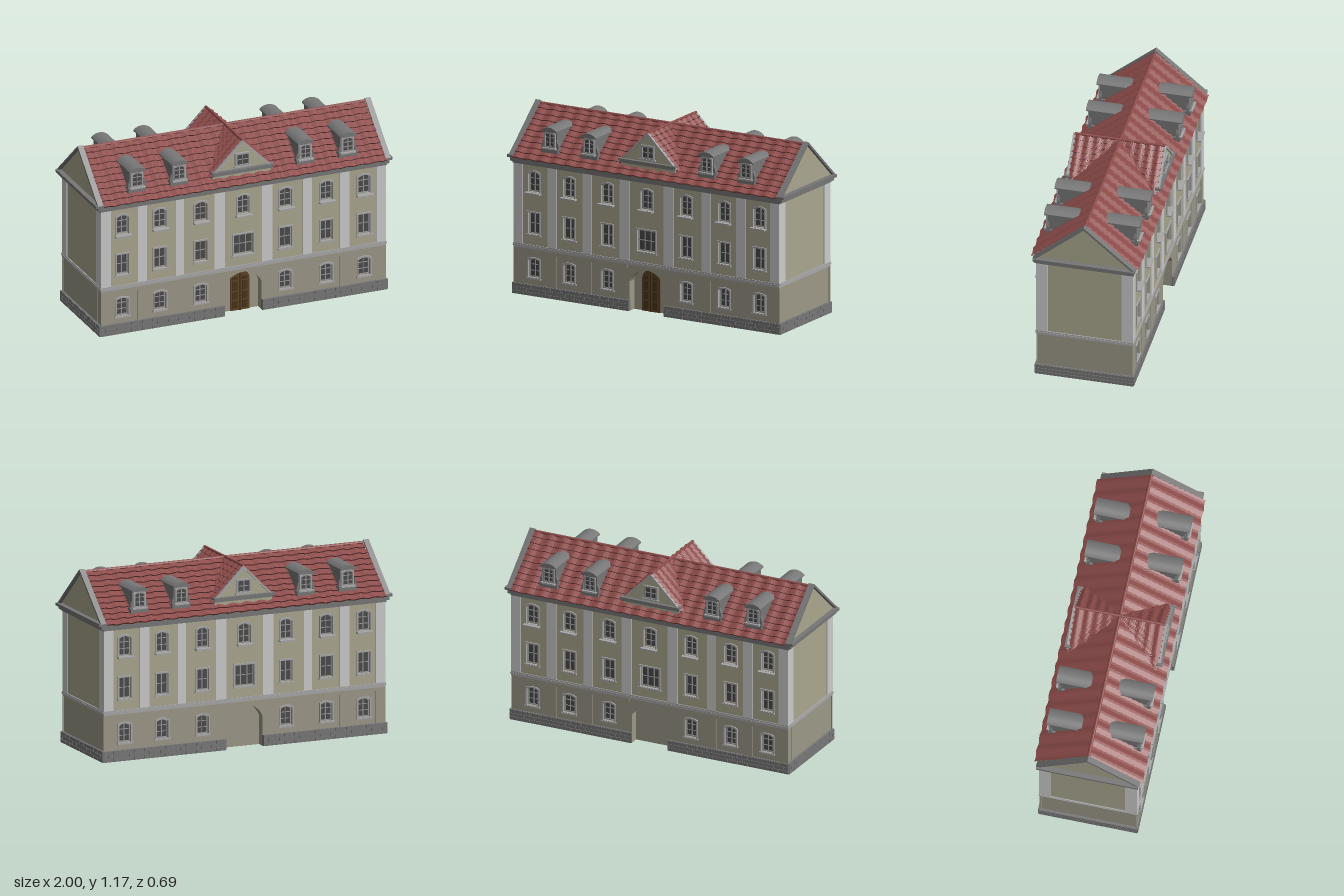
import * as THREE from 'three';

const mat = (color, extra = {}) => new THREE.MeshStandardMaterial({ color, ...extra });
const M = {
  wall: mat(0xaaa78f), base: mat(0x9c9988), light: mat(0xcccccc), trim: mat(0xa8a8a8), stone: mat(0x777777),
  glass: mat(0x4a4a4a), bar: mat(0x969696), door: mat(0x5e4426), doorDark: mat(0x4a341c),
  tile: mat(0x8c4c4a, { side: THREE.DoubleSide, flatShading: true }),
};

function add(parent, name, geo, material) {
  const mesh = new THREE.Mesh(geo, material);
  mesh.name = name;
  parent.add(mesh);
  return mesh;
}

// Box given by its limits on each axis
function box(parent, name, x0, x1, y0, y1, z0, z1, material) {
  const m = add(parent, name, new THREE.BoxGeometry(x1 - x0, y1 - y0, z1 - z0), material);
  m.position.set((x0 + x1) / 2, (y0 + y1) / 2, (z0 + z1) / 2);
  return m;
}

function extrude(parent, name, shape, z0, z1, material) {
  const geo = new THREE.ExtrudeGeometry(shape, { depth: z1 - z0, bevelEnabled: false, curveSegments: 8 });
  return add(parent, name, geo.translate(0, 0, z0), material);
}

const poly = (pts) => new THREE.Shape(pts.map((p) => new THREE.Vector2(...p)));

// Opening outline: rectangle with a segmental arch of the given rise inside height h
function arch(x, y, w, h, rise, Type = THREE.Shape) {
  const s = new Type(), a = w / 2, spring = y + h - rise;
  s.moveTo(x - a, y);
  s.lineTo(x + a, y);
  s.lineTo(x + a, spring);
  if (rise > 0) {
    const r = (a * a + rise * rise) / (2 * rise), half = Math.asin(Math.min(1, a / r));
    s.absarc(x, y + h - r, r, Math.PI / 2 - half, Math.PI / 2 + half, false);
  } else s.lineTo(x - a, spring);
  s.lineTo(x - a, y);
  return s;
}

// Window: surround, recessed glass, sash and glazing bars
function windowUnit(parent, name, { x, y, w, h, rise = 0, z, recess = 0.02, rows = 3, cols = 2, edge = 0.01, sill = 0.012 }) {
  const g = new THREE.Group();
  g.name = name;
  parent.add(g);
  const ring = (n, out, inn, z0, z1, m) => {
    const s = arch(x, y - out, w + 2 * out, h + 2 * out, rise);
    s.holes.push(arch(x, y + inn, w - 2 * inn, h - 2 * inn, rise, THREE.Path));
    extrude(g, n, s, z0, z1, m);
  };
  ring('surround', edge, 0, z - 0.002, z + 0.008, M.trim);
  const zg = z - recess + 0.001;
  add(g, 'glass', new THREE.ShapeGeometry(arch(x, y, w, h, rise)).translate(0, 0, zg), M.glass);
  ring('sash', 0, 0.006, zg, zg + 0.008, M.bar);
  for (let i = 1; i < cols; i++) {
    const bx = x - w / 2 + (w * i) / cols;
    box(g, 'mullion', bx - 0.003, bx + 0.003, y, y + h - 0.003, zg, zg + 0.007, M.bar);
  }
  for (let j = 1; j < rows; j++) {
    const by = y + (h * j) / rows;
    box(g, 'glazingBar', x - w / 2, x + w / 2, by - 0.002, by + 0.002, zg, zg + 0.005, M.bar);
  }
  box(g, 'sill', x - w / 2 - 0.014, x + w / 2 + 0.014, y - 0.012, y - 0.002, z - 0.002, z + sill, M.trim);
}

// Wavy overlapping tile courses; u runs along the ridge, v down the slope
function tiles(parent, name, O, A, D, rows, pitch, u0, u1) {
  const N = new THREE.Vector3().crossVectors(A, D).normalize();
  if (N.y < 0) N.negate();
  const pos = [], idx = [], n = Math.max(6, Math.round(((u1(0) - u0(0)) / pitch) * 6));
  const p = new THREE.Vector3();
  for (let r = 0; r < rows; r++) {
    const lines = [[r / rows, 0], [(r + 1) / rows, 0.01], [(r + 1) / rows, -0.002]];
    lines.forEach(([v, lift], k) => {
      for (let i = 0; i <= n; i++) {
        const u = u0(v) + ((u1(v) - u0(v)) * i) / n;
        const wave = 0.005 * Math.sin((u / pitch) * Math.PI * 2);
        p.copy(O).addScaledVector(A, u).addScaledVector(D, v).addScaledVector(N, lift + wave);
        pos.push(p.x, p.y, p.z);
        if (k < 2 && i < n) {
          const a = (r * 3 + k) * (n + 1) + i, b = a + n + 1;
          idx.push(a, b, a + 1, b, b + 1, a + 1);
        }
      }
    });
  }
  const geo = new THREE.BufferGeometry();
  geo.setAttribute('position', new THREE.Float32BufferAttribute(pos, 3));
  geo.setIndex(idx);
  geo.computeVertexNormals();
  return add(parent, name, geo, M.tile);
}

// Courses of plinth stones between x0 and x1 on the plane z
function stones(parent, x0, x1, z) {
  box(parent, 'plinth', x0, x1, 0, 0.07, z - 0.02, z, M.stone);
  for (let r = 0; r < 3; r++) {
    const n = Math.round((x1 - x0) / 0.07), step = (x1 - x0) / n, shift = r % 2 ? step / 2 : 0;
    for (let i = 0; i < n + (r % 2); i++) {
      const a = Math.max(x0, x0 + i * step - shift), b = Math.min(x1, x0 + (i + 1) * step - shift);
      box(parent, 'plinthStone', a + 0.002, b - 0.002, r * 0.0233 + 0.001, r * 0.0233 + 0.0215, z - 0.002, z + 0.004, M.stone);
    }
  }
}

function dormer(parent, x) {
  const g = new THREE.Group();
  g.name = 'dormer';
  g.position.x = x;
  parent.add(g);
  extrude(g, 'dormerBody', arch(0, 0.93, 0.096, 0.15, 0.018), 0.09, 0.285, M.stone);
  const roof = arch(0, 1.066, 0.112, 0.03, 0.022);
  extrude(g, 'dormerRoof', roof, 0.085, 0.305, M.stone);
  box(g, 'dormerFoot', -0.06, 0.06, 0.93, 0.96, 0.25, 0.295, M.stone);
  for (const s of [-1, 1])
    extrude(g, 'dormerScroll', poly([[s * 0.046, 0.95], [s * 0.062, 0.95], [s * 0.06, 0.985], [s * 0.048, 1.015]]), 0.27, 0.288, M.stone);
  windowUnit(g, 'dormerWindow', { x: 0, y: 0.966, w: 0.072, h: 0.094, rise: 0.01, z: 0.287, recess: 0, rows: 3, edge: 0.006, sill: 0.02 });
}

// One long side of the house with its half of the roof
function longSide(hasDoor) {
  const g = new THREE.Group();
  g.name = hasDoor ? 'frontSide' : 'backSide';
  const cols = [-0.815, -0.56, -0.285, 0, 0.285, 0.56, 0.815];
  const ground = [], upper = [];
  for (const x of cols) {
    if (x) ground.push({ x, y: 0.118, w: 0.078, h: 0.12, rise: 0.012, z: 0.303 });
    upper.push({ x, y: 0.397, w: x ? 0.08 : 0.13, h: 0.135, z: 0.305, rows: 2, cols: x ? 2 : 3 });
    upper.push({ x, y: 0.668, w: 0.08, h: 0.128, rise: 0.015, z: 0.305, sill: 0.032 });
  }

  // Walls with window openings and the arched portal niche
  const low = arch(0, 0, 0.25, 0.275, 0.085).getPoints(8).slice(1).map((p) => [p.x, p.y]);
  low.pop();
  const lowShape = poly([[-0.955, 0], [-0.955, 0.3], [0.955, 0.3], [0.955, 0], ...low, [-0.125, 0]]);
  const upShape = poly([[-0.955, 0.3], [0.955, 0.3], [0.955, 0.84], [-0.955, 0.84]]);
  for (const [shape, list] of [[lowShape, ground], [upShape, upper]])
    for (const o of list) shape.holes.push(arch(o.x, o.y, o.w, o.h, o.rise || 0, THREE.Path));
  extrude(g, 'groundWall', lowShape, 0.244, 0.303, M.base);
  extrude(g, 'upperWall', upShape, 0.244, 0.305, M.wall);
  ground.forEach((o) => windowUnit(g, 'groundWindow', o));
  upper.forEach((o) => windowUnit(g, 'upperWindow', o));

  // Pilasters above, flat strips below, plinth
  for (const s of [-1, 1]) {
    for (const [a, b] of [[0.125, 0.195], [0.4, 0.46], [0.65, 0.715], [0.895, 0.961]]) {
      const [x0, x1] = s > 0 ? [a, b] : [-b, -a];
      box(g, 'pilaster', x0, x1, 0.32, 0.842, 0.3, 0.31, M.light);
      if (a > 0.2) box(g, 'groundStrip', x0, x1, 0.06, 0.3, 0.298, 0.307, M.base);
    }
    stones(g, s > 0 ? 0.125 : -0.968, s > 0 ? 0.968 : -0.125, 0.313);
    box(g, 'groundBand', s > 0 ? 0.14 : -0.957, s > 0 ? 0.957 : -0.14, 0.275, 0.3, 0.298, 0.307, M.base);
  }

  if (hasDoor) {
    extrude(g, 'door', arch(0, 0, 0.13, 0.268, 0.065), 0.244, 0.254, M.door);
    box(g, 'doorMeeting', -0.004, 0.004, 0, 0.262, 0.25, 0.26, M.doorDark);
    for (const s of [-1, 1]) for (const [y, h] of [[0.015, 0.05], [0.075, 0.05], [0.135, 0.06], [0.205, 0.022]])
      box(g, 'doorPanel', s * 0.032 - 0.018, s * 0.032 + 0.018, y, y + h, 0.25, 0.257, M.doorDark);
  }

  // Main roof slope and dormers
  const V = (x, y, z) => new THREE.Vector3(x, y, z);
  tiles(g, 'roofTiles', V(0, 1.153, 0), V(1, 0, 0), V(0, -0.275, 0.337), 10, 0.095, () => -0.952, () => 0.952);
  for (const x of [-0.71, -0.425, 0.425, 0.71]) dormer(g, x);

  // Central cross gable
  const c = new THREE.Group();
  c.name = 'crossGable';
  g.add(c);
  extrude(c, 'gableWall', poly([[-0.195, 0.91], [0.195, 0.91], [0.195, 0.95], [0, 1.148], [-0.195, 0.95]]), 0.25, 0.287, M.wall);
  for (const s of [-1, 1]) {
    tiles(c, 'gableTiles', V(0, 1.157, 0), V(0, 0, 1), V(s * 0.222, -0.222, 0), 8, 0.06, (v) => v * 0.268, () => 0.288);
    extrude(c, 'gableRake', poly([[0, 1.16], [0, 1.142], [s * 0.19, 0.952], [s * 0.208, 0.952]]), 0.28, 0.298, M.trim);
  }
  box(c, 'gableCornice', -0.2, 0.2, 0.945, 0.958, 0.27, 0.302, M.stone);
  box(c, 'gableCorniceTop', -0.206, 0.206, 0.958, 0.972, 0.27, 0.31, M.stone);
  windowUnit(c, 'gableWindow', { x: 0, y: 0.992, w: 0.086, h: 0.078, z: 0.289, recess: 0, rows: 2, edge: 0.007 });
  const cap = add(c, 'gableRidge', new THREE.CylinderGeometry(0.009, 0.009, 0.288, 8), M.tile);
  cap.rotation.x = Math.PI / 2;
  cap.position.set(0, 1.157, 0.144);
  return g;
}

// Gable end, modelled facing +z and then turned to face sideways
function gableEnd(side) {
  const g = new THREE.Group();
  g.name = side > 0 ? 'leftGableEnd' : 'rightGableEnd';
  extrude(g, 'gableTriangle', poly([[-0.312, 0.885], [0.312, 0.885], [0, 1.158]]), 0.945, 0.968, M.wall);
  for (const s of [-1, 1]) {
    extrude(g, 'gableCoping', poly([[0, 1.17], [0, 1.152], [s * 0.304, 0.888], [s * 0.326, 0.888]]), 0.95, 0.987, M.stone);
    box(g, 'sidePilaster', s > 0 ? 0.235 : -0.309, s > 0 ? 0.309 : -0.235, 0.32, 0.842, 0.95, 0.961, M.light);
  }
  stones(g, -0.313, 0.313, 0.968);
  g.rotation.y = (side * Math.PI) / 2;
  return g;
}

export function createModel() {
  const model = new THREE.Group();
  model.name = 'townHouse';
  box(model, 'groundCore', -0.956, 0.956, 0, 0.3, -0.246, 0.246, M.base);
  box(model, 'upperCore', -0.956, 0.956, 0.3, 0.84, -0.246, 0.246, M.wall);

  // String course and cornice: [y0, y1, half length, half depth]
  for (const [y0, y1, x, z] of [[0.298, 0.31, 0.961, 0.31], [0.31, 0.317, 0.966, 0.314], [0.317, 0.326, 0.963, 0.311]])
    box(model, 'stringCourse', -x, x, y0, y1, -z, z, M.trim);
  for (const [y0, y1, x, z] of [[0.838, 0.85, 0.966, 0.312], [0.85, 0.872, 0.982, 0.318], [0.872, 0.89, 1, 0.323]])
    box(model, 'cornice', -x, x, y0, y1, -z, z, M.stone);

  const back = longSide(false);
  back.rotation.y = Math.PI;
  model.add(longSide(true), back, gableEnd(1), gableEnd(-1));

  const ridge = add(model, 'ridgeCap', new THREE.CylinderGeometry(0.01, 0.01, 1.9, 8), M.tile);
  ridge.rotation.z = Math.PI / 2;
  ridge.position.y = 1.152;
  return model;
}
